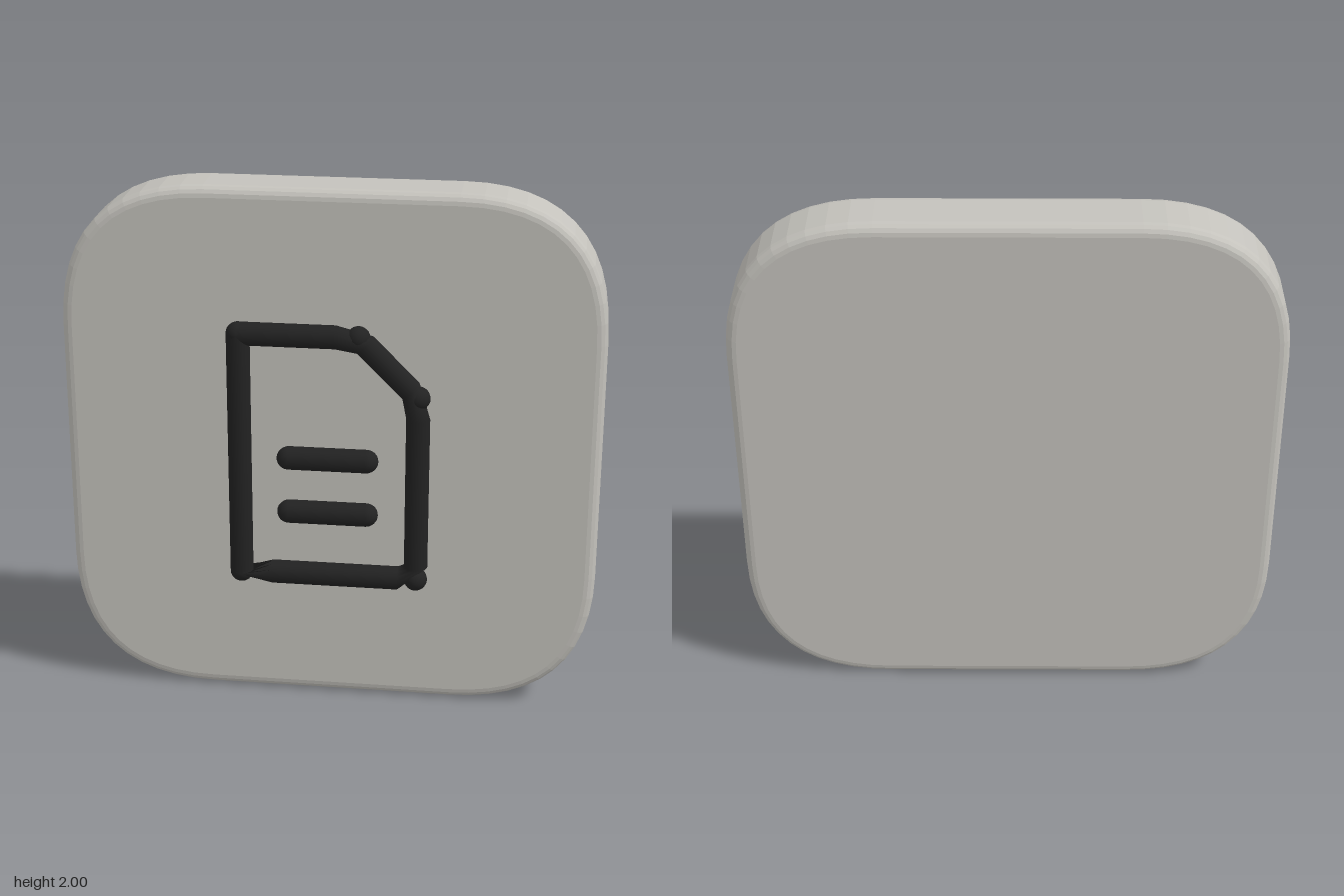
import * as THREE from 'three';

const RADIUS = 0.044; // stroke thickness
const STROKE_Z = 0.126; // strokes rest just on the tile face

export function createModel() {
  const model = new THREE.Group();
  const tileMat = new THREE.MeshStandardMaterial({ name: 'warm grey', color: 0xc4c2bc });
  const strokeMat = new THREE.MeshStandardMaterial({ name: 'charcoal', color: 0x222222 });

  const add = (name, geometry, material, x = 0, y = 0, z = 0) => {
    const mesh = new THREE.Mesh(geometry, material);
    mesh.name = name;
    mesh.position.set(x, y, z);
    model.add(mesh);
    return mesh;
  };

  // Tile: soft-cornered square with a rounded rim
  const bevel = 0.04, h = 1 - bevel, f = h - 0.5;
  const outline = new THREE.Shape();
  outline.moveTo(-f, -h);
  outline.lineTo(f, -h);
  outline.quadraticCurveTo(h, -h, h, -f);
  outline.lineTo(h, f);
  outline.quadraticCurveTo(h, h, f, h);
  outline.lineTo(-f, h);
  outline.quadraticCurveTo(-h, h, -h, f);
  outline.lineTo(-h, -f);
  outline.quadraticCurveTo(-h, -h, -f, -h);
  const tile = new THREE.ExtrudeGeometry(outline, {
    depth: 0.16, bevelEnabled: true, bevelThickness: bevel, bevelSize: bevel,
    bevelSegments: 4, curveSegments: 12,
  });
  add('tile', tile, tileMat, 0, 1, -0.13);

  // Page outline corners, clockwise from top left
  const corners = [[-0.33, 1.477], [0.11, 1.477], [0.33, 1.257], [0.33, 0.533], [-0.33, 0.533]]
    .map(([x, y]) => new THREE.Vector3(x, y, STROKE_Z));

  // Left edge of the page
  const left = corners[0].y - corners[4].y;
  add('pageLeftEdge', new THREE.CylinderGeometry(RADIUS, RADIUS, left, 12), strokeMat,
    corners[0].x, corners[4].y + left / 2, STROKE_Z);

  // Remaining edges as one coarse tube; a tiny upturn pinches its last ring
  const path = new THREE.CurvePath();
  const upturn = corners[4].clone().add(new THREE.Vector3(0, 0.002, 0));
  const stops = [...corners, upturn];
  for (let i = 1; i < stops.length; i++) path.add(new THREE.LineCurve3(stops[i - 1], stops[i]));
  add('pageOutline', new THREE.TubeGeometry(path, 18, RADIUS, 12, false), strokeMat);

  // Round joints at the page corners
  for (const c of corners) {
    add('pageCorner', new THREE.SphereGeometry(RADIUS, 16, 12), strokeMat, c.x, c.y, c.z);
  }

  // Two lines of text on the page
  for (const y of [1.0, 0.785]) {
    const line = add('textLine', new THREE.CapsuleGeometry(RADIUS, 0.29, 6, 12), strokeMat, -0.003, y, STROKE_Z);
    line.rotation.z = Math.PI / 2;
  }

  return model;
}
